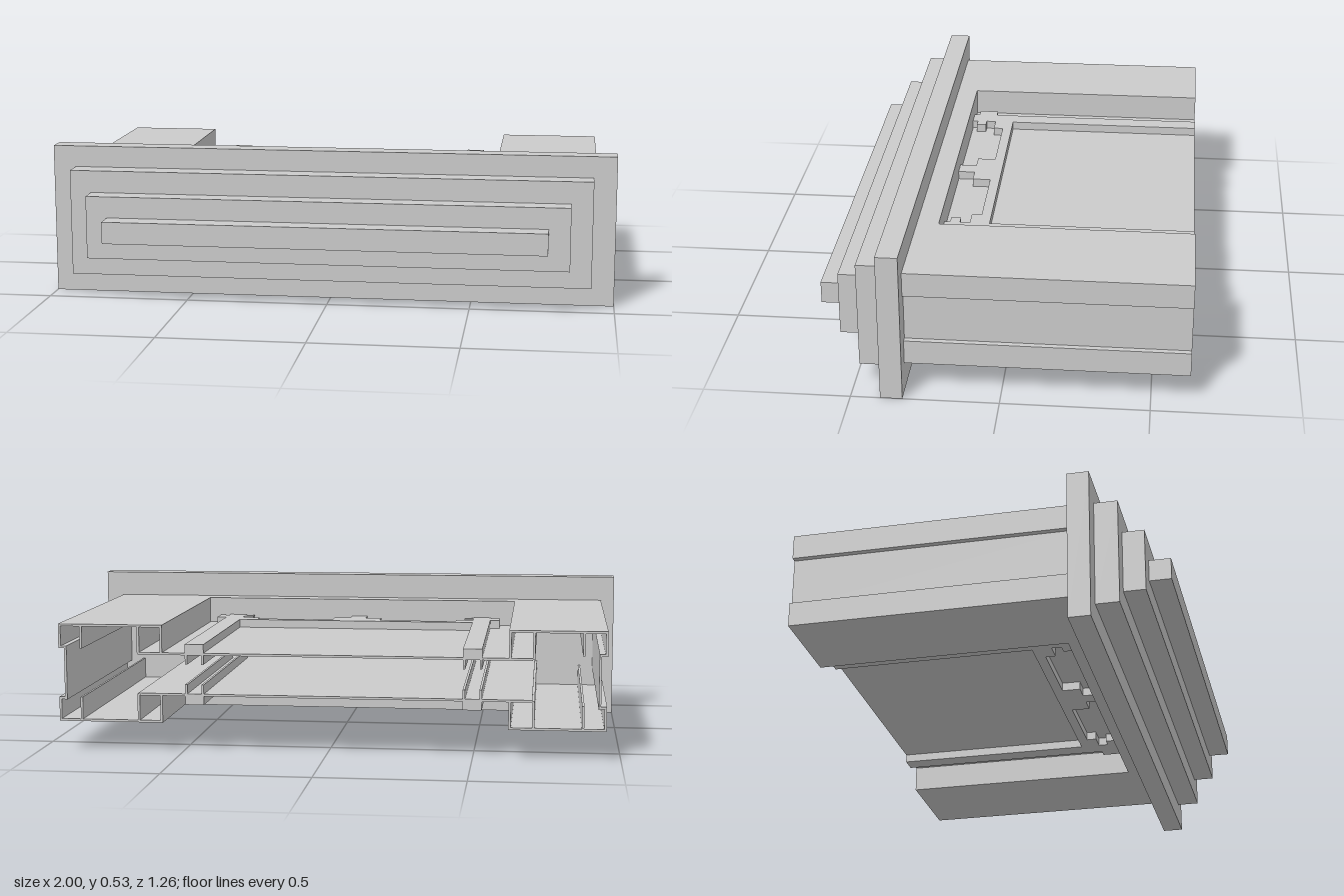
import * as THREE from 'three';

const material = new THREE.MeshStandardMaterial({ color: 0xcccccc, flatShading: true, side: THREE.DoubleSide });
const T = 0.008;               // sheet thickness
const BACK = -0.63, FRONT = 0.325, STOP = 0.25;
const MID = 0.27;              // height of the body's mirror plane

function add(group, name, geometry) {
  const mesh = new THREE.Mesh(geometry, material);
  mesh.name = name;
  group.add(mesh);
}

// Box given by its limits on each axis
function box(group, name, x0, x1, y0, y1, z0, z1) {
  const g = new THREE.BoxGeometry(Math.abs(x1 - x0), Math.abs(y1 - y0), Math.abs(z1 - z0));
  g.translate((x0 + x1) / 2, (y0 + y1) / 2, (z0 + z1) / 2);
  add(group, name, g);
}

// Flat plate from an outline in x and z, spanning y0 to y1
function plate(group, name, points, y0, y1) {
  const shape = new THREE.Shape(points.map(([x, z]) => new THREE.Vector2(x, z)));
  const g = new THREE.ExtrudeGeometry(shape, { depth: Math.abs(y1 - y0), bevelEnabled: false });
  g.rotateX(Math.PI / 2).translate(0, Math.max(y0, y1), 0);
  add(group, name, g);
}

export function createModel() {
  const model = new THREE.Group();
  model.name = 'drawerUnit';

  // Stepped front panel
  const front = new THREE.Group();
  front.name = 'steppedFront';
  model.add(front);
  const steps = [
    [1.0, 0, 0.53, 0.325, 0.4],
    [0.92, 0.08, 0.455, 0.4, 0.48],
    [0.845, 0.155, 0.377, 0.48, 0.555],
    [0.77, 0.225, 0.302, 0.555, 0.63],
  ];
  steps.forEach(([w, y0, y1, z0, z1]) => box(front, 'frontStep', -w, w, y0, y1, z0, z1));

  // Recessed side walls
  const body = new THREE.Group();
  body.name = 'body';
  model.add(body);
  const sides = [
    { s: 1, outer: 0.935, inner: 0.57 },
    { s: -1, outer: -0.95, inner: -0.62 },
  ];
  for (const { s, outer } of sides) {
    box(body, 'sideWall', outer - s * 0.02, outer - s * (0.02 + T), 0.175, 0.355, BACK, FRONT);
  }

  // Outline of the raised frame: half of it, measured from its centre line
  const cx = -0.02;
  const half = [
    [0.445, 0.09], [0.445, BACK], [0.51, BACK], [0.51, 0.16], [0.545, 0.16], [0.545, 0.23],
    [0.51, 0.23], [0.51, STOP], [0.445, STOP], [0.445, 0.23], [0.41, 0.23], [0.41, 0.195],
    [0.445, 0.195], [0.445, 0.16], [0.38, 0.16], [0.38, 0.125], [0.09, 0.125], [0.09, 0.19],
    [0.03, 0.19], [0.03, STOP],
  ];
  const frame = [
    ...half.map(([u, z]) => [cx + u, z]),
    ...half.slice().reverse().map(([u, z]) => [cx - u, z]),
  ];

  // Upper and lower shells, mirrored about the middle height
  for (const m of [1, -1]) {
    const shell = new THREE.Group();
    shell.name = m > 0 ? 'upperShell' : 'lowerShell';
    model.add(shell);
    const y = (h) => MID + m * h;

    // U-shaped outer sheet, open to the back
    plate(shell, 'outerSheet', [
      [-0.95, BACK], [-0.62, BACK], [-0.62, STOP], [0.57, STOP],
      [0.57, BACK], [0.935, BACK], [0.935, FRONT], [-0.95, FRONT],
    ], y(0.17), y(0.17 - T));

    // Inner floor sheet and the wall that ends the opening
    box(shell, 'floorSheet', -0.7, 0.655, y(0.075), y(0.075 - T), BACK, FRONT);
    box(shell, 'openingEndWall', -0.62, 0.57, y(0.17), y(0.07), STOP, STOP + T);

    // Raised frame with keyed cutouts around the centre panel
    plate(shell, 'keyedFrame', frame, y(0.105), y(0.075));

    for (const { s, outer, inner } of sides) {
      // Outer lip channel
      box(shell, 'outerLip', outer, outer - s * T, y(0.17), y(0.085), BACK, FRONT);
      box(shell, 'lipReturn', outer, outer - s * 0.028, y(0.085), y(0.085 + T), BACK, FRONT);
      box(shell, 'lipInnerLeg', outer - s * 0.075, outer - s * (0.075 + T), y(0.17), y(0.085), BACK, FRONT);
      // Legs beside the opening
      box(shell, 'openingLeg', inner, inner + s * T, y(0.17), y(0.07), BACK, STOP);
      box(shell, 'openingOuterLeg', inner + s * 0.08, inner + s * (0.08 + T), y(0.17), y(0.07), BACK, FRONT);
      // Short legs below the frame rails
      for (const u of [0.445, 0.51 - T]) {
        box(shell, 'railLeg', cx + s * u, cx + s * (u + T), y(0.075), y(0.035), BACK, STOP);
      }
    }
  }
  return model;
}
